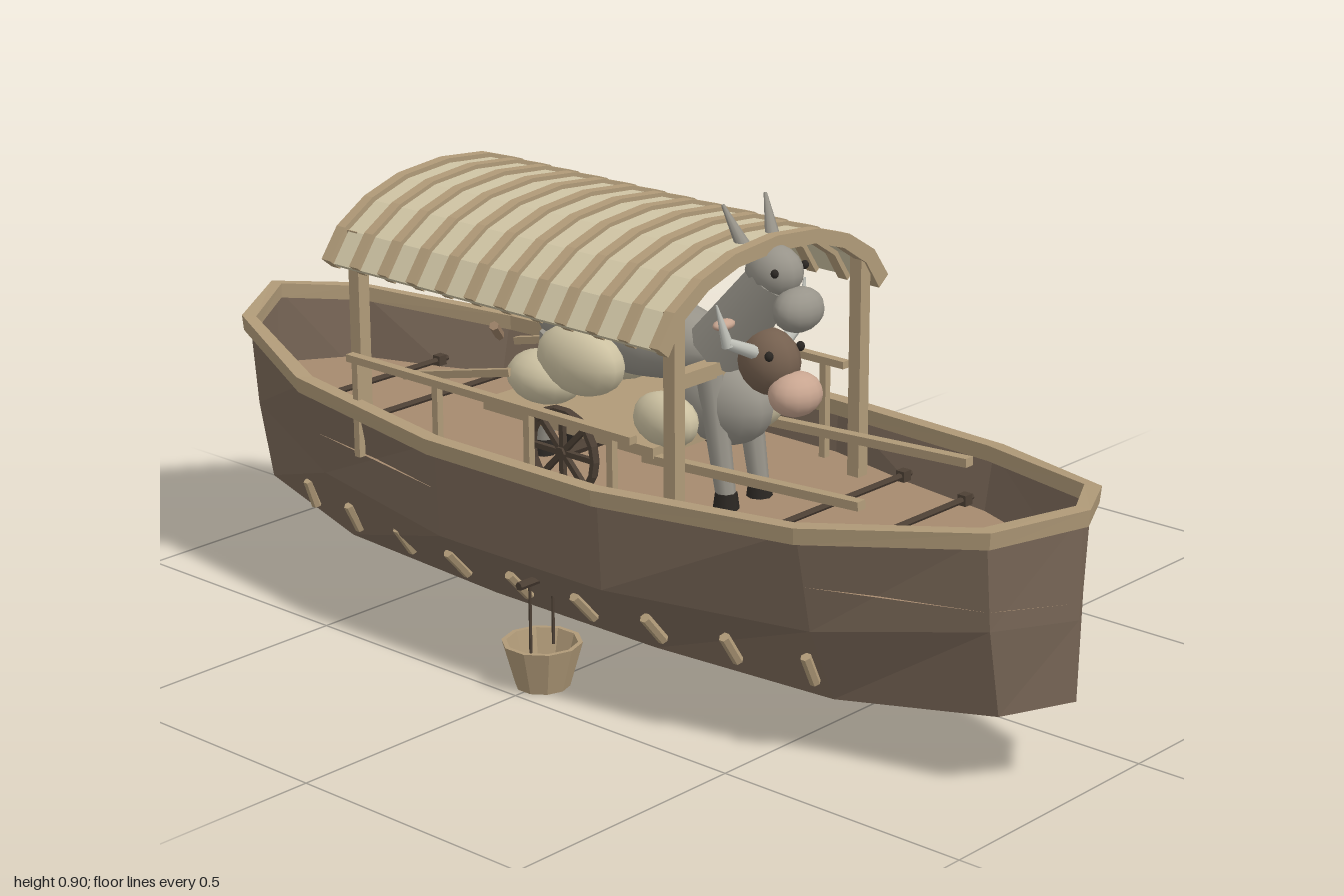
import * as THREE from 'three';

const paint = (color) => new THREE.MeshStandardMaterial({ color, flatShading: true, side: THREE.DoubleSide });
const V = (x, y, z) => new THREE.Vector3(x, y, z);

// Half hull stations: z, then (y, half width) of sheer, chine and bottom
const STATIONS = [
  [0.985, 0.495, 0, 0.31, 0, 0.165, 0],
  [0.9, 0.475, 0.145, 0.305, 0.13, 0.145, 0.1],
  [0.6, 0.445, 0.27, 0.255, 0.23, 0.112, 0.165],
  [0.2, 0.43, 0.325, 0.25, 0.315, 0.1, 0.175],
];
const ALL = [...STATIONS, ...STATIONS.map(([z, ...r]) => [-z, ...r]).reverse()];

// Hull half width at any z and y
function hullHalf(z, y) {
  const a = Math.abs(z);
  const width = ([, y0, w0, y1, w1, y2, w2]) => y > y1
    ? w1 + (w0 - w1) * (y - y1) / (y0 - y1)
    : w2 + (w1 - w2) * (y - y2) / (y1 - y2);
  if (a <= 0.2) return width(STATIONS[3]);
  const i = STATIONS.findIndex((s, k) => k < 3 && a <= s[0] && a >= STATIONS[k + 1][0]);
  const [p, q] = [STATIONS[i], STATIONS[i + 1]];
  return THREE.MathUtils.lerp(width(q), width(p), (a - q[0]) / (p[0] - q[0]));
}

// Skin over a list of equal cross-sections
function loft(rings, closeSection, closeLoop) {
  const n = rings[0].length, pos = [], idx = [];
  rings.forEach((r) => r.forEach((p) => pos.push(p.x, p.y, p.z)));
  const rows = closeLoop ? rings.length : rings.length - 1;
  for (let i = 0; i < rows; i++) {
    for (let j = 0; j < (closeSection ? n : n - 1); j++) {
      const i2 = (i + 1) % rings.length, j2 = (j + 1) % n;
      const a = i * n + j, b = i * n + j2, c = i2 * n + j, d = i2 * n + j2;
      idx.push(a, b, c, b, d, c);
    }
  }
  const g = new THREE.BufferGeometry();
  g.setAttribute('position', new THREE.Float32BufferAttribute(pos, 3));
  g.setIndex(idx);
  const flat = g.toNonIndexed();
  flat.computeVertexNormals();
  return flat;
}

export function createModel() {
  const model = new THREE.Group();
  model.name = 'riverBoat';
  const boat = new THREE.Group();
  boat.name = 'boat';
  boat.position.x = -0.17;
  model.add(boat);

  const hullMat = paint(0x7a6858), deckMat = paint(0xa58a6e), wood = paint(0xb09a78), darkWood = paint(0x4d4035);
  const roofMat = paint(0xcfc4a4), oarMat = paint(0x9a7f66);
  const smooth = (color) => new THREE.MeshStandardMaterial({ color });
  const grey = smooth(0x98948a), brown = smooth(0x75604f), pink = smooth(0xc8a590);
  const sackMat = smooth(0xcdc2a2), hornMat = smooth(0xbfc0b8), dark = smooth(0x2b2723);

  const add = (name, geometry, mat, x = 0, y = 0, z = 0, parent = boat) => {
    const m = new THREE.Mesh(geometry, mat);
    m.name = name;
    m.position.set(x, y, z);
    parent.add(m);
    return m;
  };
  // Lay a mesh whose length runs along an axis between two points
  const span = (m, axis, a, b) => {
    m.position.copy(a).lerp(b, 0.5);
    m.quaternion.setFromUnitVectors(axis, b.clone().sub(a).normalize());
    return m;
  };
  // Square bar between two points
  const beam = (name, a, b, w, h, mat = wood) =>
    span(add(name, new THREE.BoxGeometry(w, h, a.distanceTo(b)), mat), V(0, 0, 1), a, b);
  // Round or faceted bar between two points
  const rod = (name, a, b, r0, r1, mat, sides = 6) =>
    span(add(name, new THREE.CylinderGeometry(r1, r0, a.distanceTo(b), sides), mat), V(0, 1, 0), a, b);
  const blob = (name, x, y, z, rx, ry, rz, mat) => {
    const m = add(name, new THREE.SphereGeometry(1, 14, 10), mat, x, y, z);
    m.scale.set(rx, ry, rz);
    return m;
  };

  // Hull shell
  add('hull', loft(ALL.map(([z, y0, w0, y1, w1, y2, w2]) => [
    V(w0, y0, z), V(w1, y1, z), V(w2, y2, z), V(-w2, y2, z), V(-w1, y1, z), V(-w0, y0, z),
  ]), false, false), hullMat);

  // Rim following the sheer all the way round
  const loop = [...ALL.map((s) => [s[2], s[1], s[0]]), ...ALL.slice(1, -1).reverse().map((s) => [-s[2], s[1], s[0]])];
  add('rim', loft(loop.map(([x, y, z]) => [
    V(x * 1.06, y + 0.012, z * 1.015), V(x * 1.05, y - 0.018, z * 1.012),
    V(x * 0.98, y - 0.018, z * 0.987), V(x * 0.97, y + 0.012, z * 0.985),
  ]), true, true), wood);

  // Deck and its cross rods
  const DECK = 0.34;
  const edge = ALL.map((s) => new THREE.Vector2(hullHalf(s[0], DECK), -s[0]));
  const outline = [...edge, ...edge.slice(1, -1).reverse().map((p) => new THREE.Vector2(-p.x, p.y))];
  add('deck', new THREE.ShapeGeometry(new THREE.Shape(outline)).rotateX(-Math.PI / 2), deckMat, 0, DECK, 0);
  for (const z of [-0.71, -0.55, 0.41, 0.57]) {
    const w = hullHalf(z, 0.37) - 0.01;
    rod('crossRod', V(-w, 0.36, z), V(w, 0.36, z), 0.006, 0.006, darkWood);
    for (const s of [-1, 1]) add('rodEnd', new THREE.BoxGeometry(0.02, 0.02, 0.018), darkWood, s * (w - 0.02), 0.36, z);
  }

  // Canopy: cover sheet and ribs
  const half = [[0.305, 0.71], [0.265, 0.765], [0.195, 0.808], [0.11, 0.835]];
  const arc = [...half, [0, 0.845], ...half.map(([x, y]) => [-x, y]).reverse()];
  const arch = (lift, drop, depth) => {
    const at = (d) => arc.map(([x, y]) => new THREE.Vector2(x * (1 - d * 2.9), y - d * (0.7 + 0.3 * (1 - Math.abs(x) / 0.305))));
    const shape = new THREE.Shape([...at(lift), ...at(drop).reverse()]);
    return new THREE.ExtrudeGeometry(shape, { depth, bevelEnabled: false });
  };
  add('canopyCover', arch(0.008, 0.019, 0.79), roofMat, 0, 0, -0.48);
  for (let i = 0; i < 12; i++) add('canopyRib', arch(0, 0.028, 0.022), wood, 0, 0, -0.505 + i * 0.0737);

  // Canopy posts, side railings, hull pegs and hanging buckets
  for (const s of [-1, 1]) {
    for (const z of [0.31, -0.47]) beam('canopyPost', V(s * 0.247, DECK, z), V(s * 0.247, 0.76, z), 0.026, 0.026);
    beam('railing', V(s * 0.285, 0.528, 0.25), V(s * 0.285, 0.528, -0.46), 0.018, 0.014);
    for (const z of [0.2, 0, -0.23, -0.44]) beam('railingPost', V(s * 0.285, DECK, z), V(s * 0.285, 0.525, z), 0.014, 0.014);

    for (let i = 0; i < 9; i++) {
      const z = 0.58 - i * 0.161;
      const at = (y) => V(s * (hullHalf(z, y) + 0.008), y, z);
      rod('hullPeg', at(0.145), at(0.2), 0.01, 0.01, wood);
    }

    const x = s * 0.26;
    rod('bucketBar', V(x - 0.057, 0.205, 0), V(x + 0.057, 0.205, 0), 0.008, 0.008, darkWood);
    for (const d of [-0.029, 0.029]) rod('bucketRope', V(x + d, 0.07, 0), V(x + d, 0.205, 0), 0.003, 0.003, darkWood);
    const bucket = [[0, 0], [0.05, 0], [0.074, 0.085], [0.065, 0.085], [0.045, 0.012], [0, 0.012]];
    add('bucket', new THREE.LatheGeometry(bucket.map((p) => new THREE.Vector2(...p)), 10), wood, x, 0, 0);
  }

  // Steering oar
  const neck = V(0.535, 0.17, -0.775);
  rod('oarShaft', V(0.22, 0.445, -0.595), neck, 0.01, 0.01, oarMat);
  rod('oarBlade', neck, V(0.667, 0.118, -0.865), 0.032, 0.032, oarMat);

  // Cart: bed, shafts, wheels
  add('cartBed', new THREE.BoxGeometry(0.32, 0.02, 0.42), wood, 0, 0.455, -0.03);
  add('yoke', new THREE.BoxGeometry(0.295, 0.027, 0.03), wood, 0, 0.594, 0.22);
  rod('cartAxle', V(-0.21, 0.427, 0), V(0.21, 0.427, 0), 0.012, 0.012, darkWood);
  for (const s of [-1, 1]) {
    beam('cartShaft', V(s * 0.147, 0.44, 0.15), V(s * 0.147, 0.467, 0.64), 0.02, 0.016);
    beam('cartHandle', V(s * 0.147, 0.525, -0.18), V(s * 0.147, 0.46, -0.46), 0.014, 0.014);
    const wheel = new THREE.Group();
    wheel.name = 'cartWheel';
    wheel.position.set(s * 0.2, 0.427, 0);
    wheel.rotation.y = Math.PI / 2;
    boat.add(wheel);
    add('wheelTyre', new THREE.TorusGeometry(0.078, 0.009, 6, 18), darkWood, 0, 0, 0, wheel);
    for (let k = 0; k < 4; k++) {
      add('wheelSpoke', new THREE.BoxGeometry(0.15, 0.01, 0.01), darkWood, 0, 0, 0, wheel).rotation.z = k * Math.PI / 4;
    }
  }

  // Sacks on the cart
  const sacks = [[-0.1, 0.565, -0.05, 0.052, 0.065, 0.1], [-0.115, 0.505, 0.17, 0.042, 0.05, 0.07], [0.09, 0.5, 0.19, 0.064, 0.058, 0.065],
    [0.1, 0.565, -0.05, 0.05, 0.065, 0.1], [0.1, 0.515, -0.14, 0.06, 0.05, 0.08], [-0.1, 0.515, -0.14, 0.06, 0.05, 0.08]];
  sacks.forEach((p) => blob('sack', ...p, sackMat));

  // Grey animal: body and raised head
  blob('greyBody', 0, 0.61, -0.02, 0.088, 0.082, 0.235, grey);
  rod('greyNeck', V(0, 0.62, 0.2), V(0, 0.77, 0.32), 0.062, 0.045, grey, 10);
  blob('greyHead', 0, 0.78, 0.32, 0.046, 0.048, 0.055, grey);
  blob('greyMuzzle', 0, 0.722, 0.375, 0.053, 0.04, 0.04, grey);
  // Brown animal: chest, lowered head and muzzle
  blob('brownChest', 0, 0.52, 0.2, 0.065, 0.08, 0.11, grey);
  blob('brownHead', 0, 0.615, 0.31, 0.05, 0.06, 0.06, brown);
  blob('brownMuzzle', 0, 0.568, 0.37, 0.053, 0.04, 0.045, pink);
  for (const s of [-1, 1]) {
    for (const z of [0.25, -0.2]) {
      rod('leg', V(s * 0.045, 0.58, z * 0.85), V(s * 0.045, 0.36, z), 0.026, 0.018, grey, 8);
      rod('hoof', V(s * 0.045, DECK, z), V(s * 0.045, 0.37, z), 0.024, 0.02, dark, 8);
    }
    rod('greyHorn', V(s * 0.035, 0.81, 0.29), V(s * 0.056, 0.897, 0.25), 0.016, 0.003, grey, 8);
    blob('greyEye', s * 0.04, 0.79, 0.355, 0.007, 0.008, 0.007, dark);
    blob('brownEye', s * 0.042, 0.64, 0.345, 0.008, 0.009, 0.008, dark);
    blob('brownEar', s * 0.075, 0.69, 0.27, 0.025, 0.01, 0.015, pink);
    rod('hornBase', V(s * 0.035, 0.638, 0.31), V(s * 0.1, 0.668, 0.3), 0.013, 0.01, hornMat, 8);
    rod('hornTip', V(s * 0.098, 0.662, 0.3), V(s * 0.117, 0.738, 0.29), 0.011, 0.002, hornMat, 8);
  }
  return model;
}
